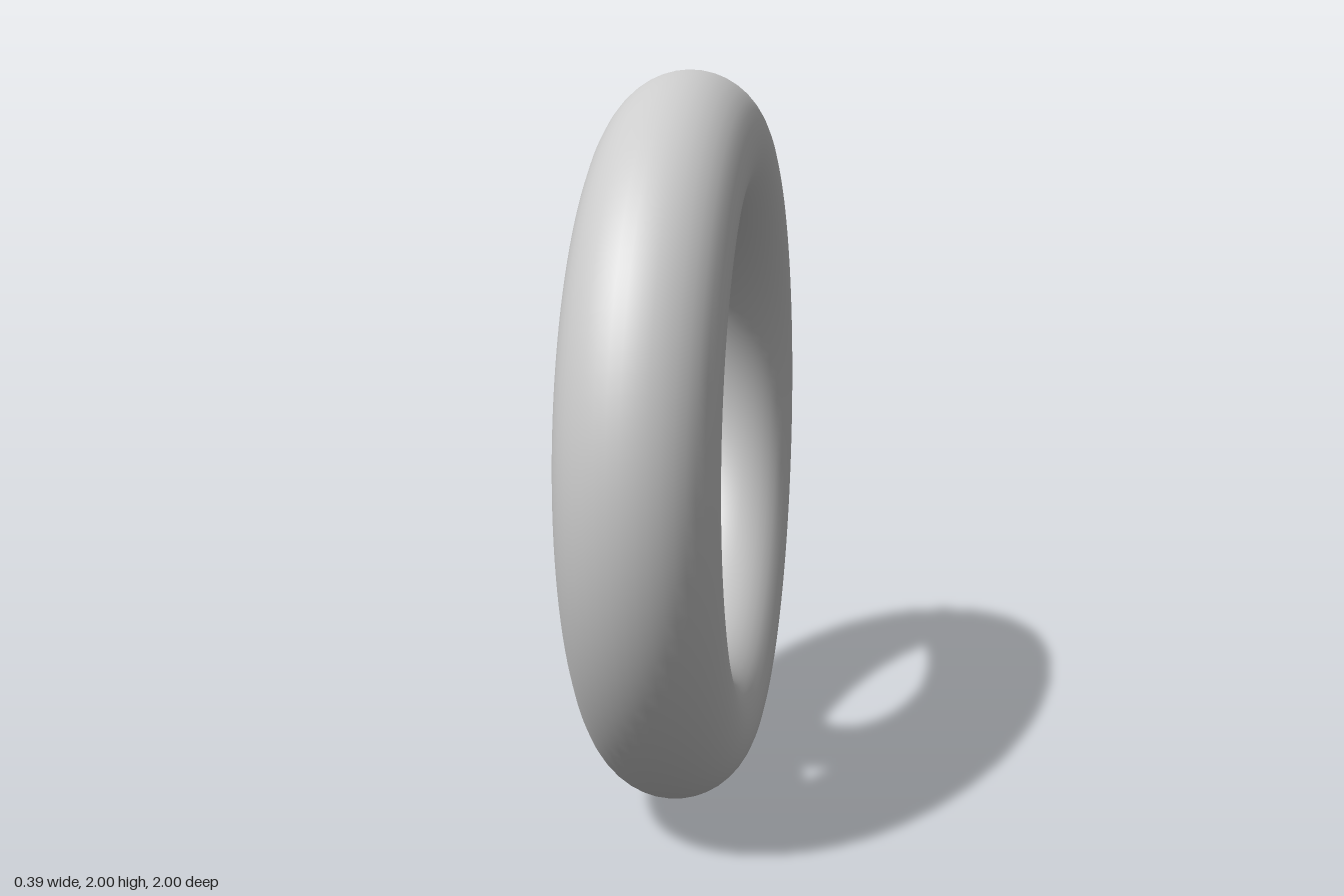
import * as THREE from 'three';

// Point on a circle in the side plane: [x, y, z], angle in degrees from +z towards +y
function onCircle(cz, cy, r, degrees, x = 0) {
  const a = THREE.MathUtils.degToRad(degrees);
  return [x, cy + r * Math.sin(a), cz + r * Math.cos(a)];
}

// Diamond-section crescent: outer edge, two side ridges and inner edge
function crescentGeometry(steps = 56) {
  const sections = [];
  for (let i = 0; i <= steps; i++) {
    const t = i / steps;
    const lerp = THREE.MathUtils.lerp;
    const half = 0.07 * (1 - (t < 0.5 ? 1 : 0.62) * Math.abs(2 * t - 1) ** 3);
    const outer = onCircle(0, 1.003, 0.494, lerp(111, -124, t));
    const inner = onCircle(-0.215, 1.05, 0.395, lerp(85, -111.7, t));
    const ridge = onCircle(-0.09, 1.022, 0.438, lerp(102, -118, t), half);
    sections.push([outer, ridge, inner, [-half, ridge[1], ridge[2]]]);
  }
  // Both ends close to a point
  sections[0] = Array(4).fill([0, 1.45, -0.18]);
  sections.push(Array(4).fill([0, 0.685, -0.36]));

  // Each face strip has its own vertices, so the ridges stay sharp
  const positions = [], index = [];
  for (let k = 0; k < 4; k++) {
    const base = positions.length / 3;
    sections.forEach((s, i) => {
      positions.push(...s[k], ...s[(k + 1) % 4]);
      if (i === sections.length - 1) return;
      const a = base + i * 2, b = a + 1, c = a + 2, d = a + 3;
      index.push(a, c, b, b, c, d);
    });
  }
  const geometry = new THREE.BufferGeometry();
  geometry.setAttribute('position', new THREE.Float32BufferAttribute(positions, 3));
  geometry.setIndex(index);
  geometry.computeVertexNormals();
  return geometry;
}

export function createModel() {
  const model = new THREE.Group();
  model.name = 'crescentRing';
  const grey = new THREE.MeshStandardMaterial({ color: 0xcccccc });
  grey.name = 'grey';

  // Upright round ring
  const ring = new THREE.Mesh(new THREE.TorusGeometry(0.805, 0.195, 40, 128), grey);
  ring.name = 'ring';
  ring.rotation.y = Math.PI / 2;
  ring.position.y = 1;
  model.add(ring);

  // Crescent floating inside the ring
  const crescent = new THREE.Mesh(crescentGeometry(), grey);
  crescent.name = 'crescent';
  model.add(crescent);
  return model;
}
